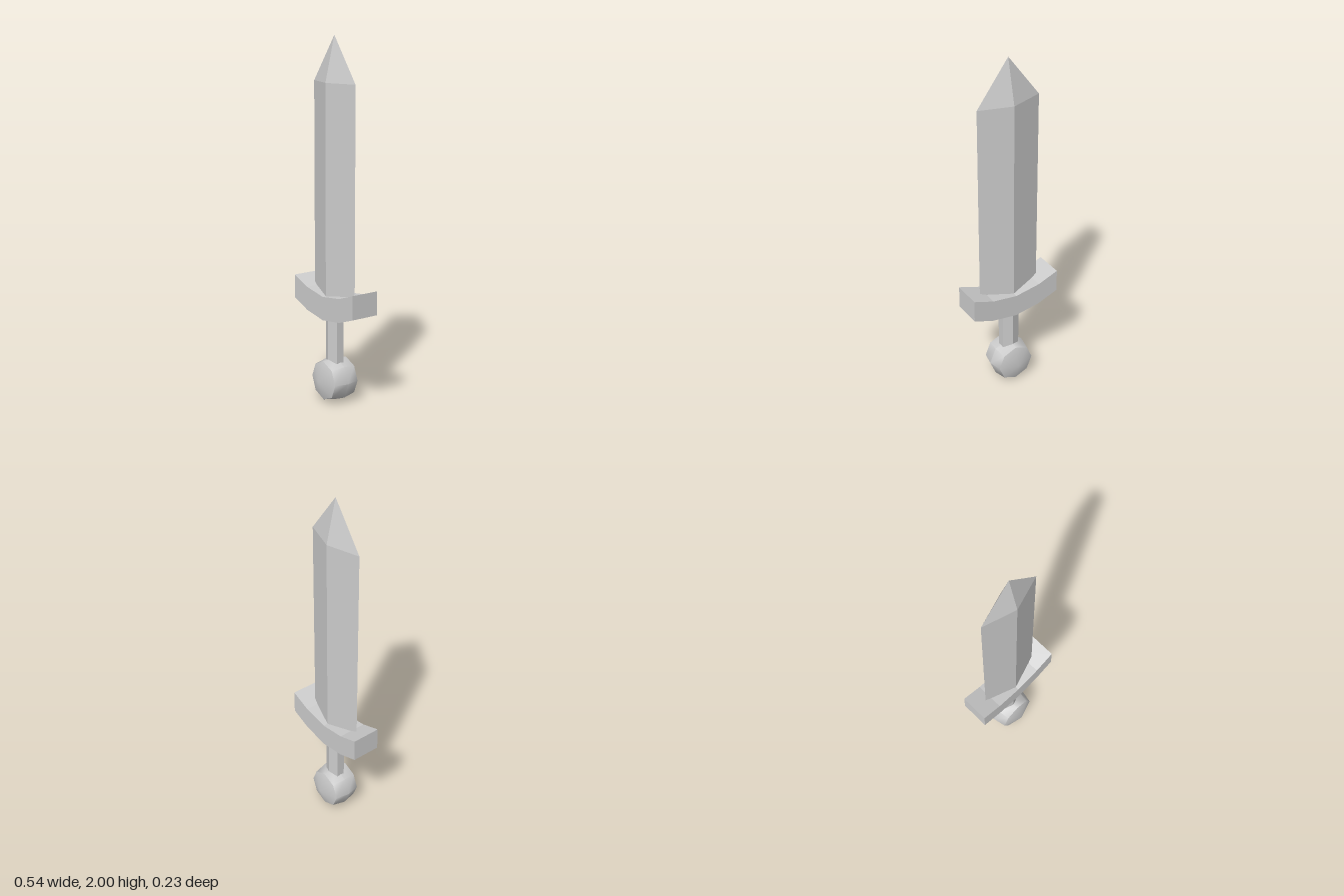
import * as THREE from 'three';
import { toCreasedNormals } from 'three/addons/utils/BufferGeometryUtils.js';

const flat = new THREE.MeshStandardMaterial({ color: 0xcccccc, flatShading: true });
const smooth = new THREE.MeshStandardMaterial({ color: 0xcccccc });

function lathe(points, sides) {
  return new THREE.LatheGeometry(points.map(([r, y]) => new THREE.Vector2(r, y)), sides);
}

export function createModel() {
  const sword = new THREE.Group();
  sword.name = 'sword';
  const add = (name, geometry, material = flat) => {
    const mesh = new THREE.Mesh(geometry, material);
    mesh.name = name;
    sword.add(mesh);
    return mesh;
  };

  // Diamond-section blade with a pointed tip
  const blade = lathe([[0, 0.55], [1, 0.55], [1, 1.755], [0, 2]], 4);
  blade.scale(0.185, 1, 0.057);
  blade.translate(0, 0, 0.003);
  add('blade', blade);

  // Crossguard: upturned band, outlined along the top and back along the bottom
  const curve = [[-0.27, 0.672], [-0.15, 0.628], [0, 0.605], [0.15, 0.628], [0.27, 0.672]];
  const lower = curve.map(([x, y]) => [x, y - 0.132]).reverse();
  const outline = new THREE.Shape([...curve, ...lower].map(([x, y]) => new THREE.Vector2(x, y)));
  const guard = new THREE.ExtrudeGeometry(outline, { depth: 0.162, bevelEnabled: false });
  guard.translate(0, 0, -0.081);
  add('crossguard', guard);

  // Six-sided grip, ridged at front and back
  const grip = new THREE.CylinderGeometry(1, 1, 0.34, 6);
  grip.scale(0.06, 1, 0.045);
  grip.translate(0, 0.37, 0);
  add('grip', grip);

  // Eight-sided pommel with shallow conical caps facing front and back
  const pommel = lathe([[0, -0.113], [0.109, -0.076], [0.125, 0], [0.109, 0.076], [0, 0.113]], 8);
  pommel.rotateX(Math.PI / 2);
  pommel.translate(0, 0.125, 0);
  add('pommel', toCreasedNormals(pommel, 0.85), smooth);

  return sword;
}
